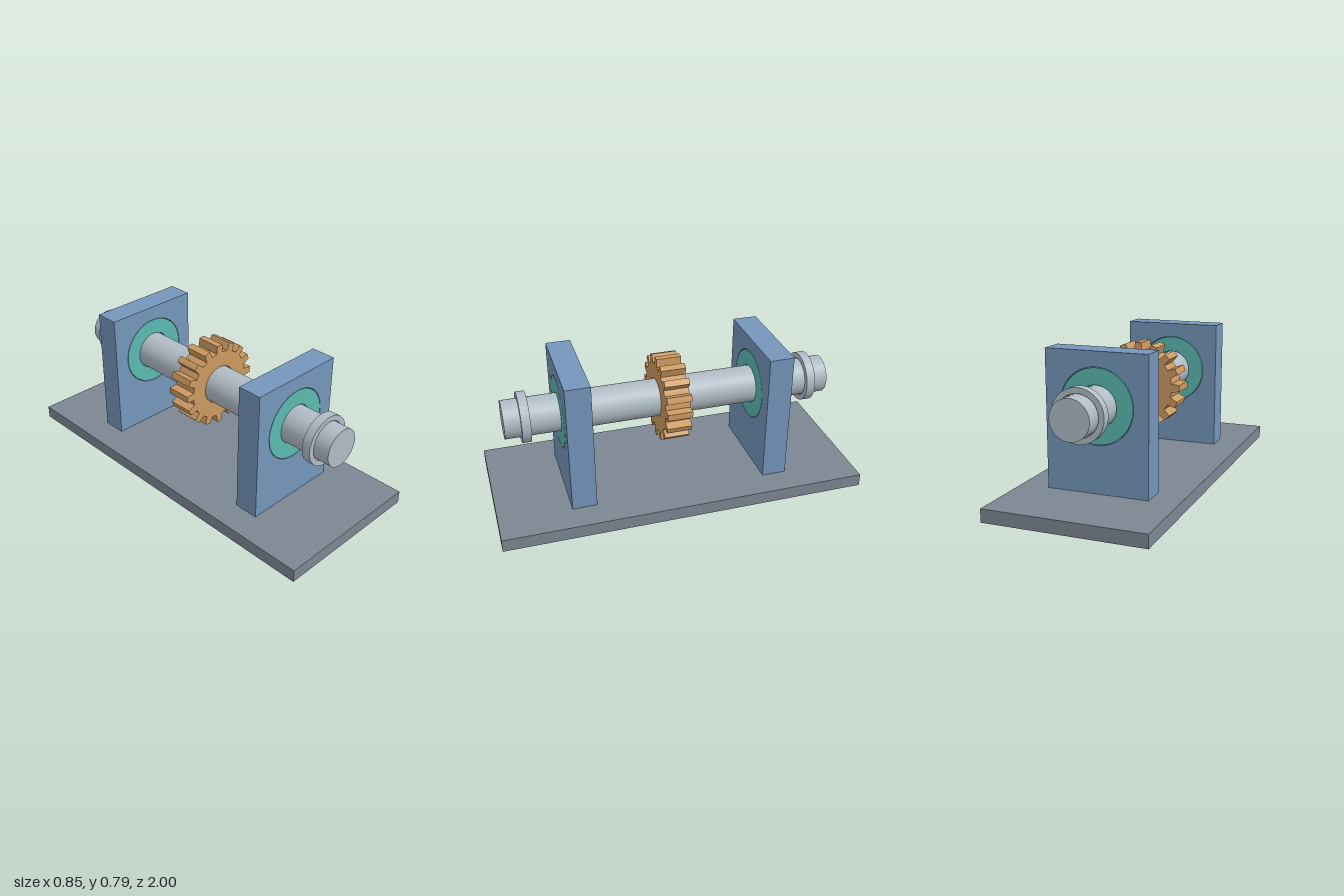
import * as THREE from 'three';

const AXIS_Y = 0.515;

const paint = (name, color) => {
  const m = new THREE.MeshStandardMaterial({ color });
  m.name = name;
  return m;
};

const circle = (r) => new THREE.Path().absarc(0, 0, r, 0, Math.PI * 2, true);

// Extrude a shape along z, centred on its own depth
function slab(shape, depth) {
  const geo = new THREE.ExtrudeGeometry(shape, { depth, bevelEnabled: false, curveSegments: 48 });
  return geo.translate(0, 0, -depth / 2);
}

// Smooth ring around the z axis: a lathed rectangle with doubled corners for crisp edges
function ring(inner, outer, depth) {
  const h = depth / 2;
  const c = [[inner, -h], [outer, -h], [outer, h], [inner, h]].map(([x, y]) => new THREE.Vector2(x, y));
  const pts = [c[0], c[1], c[1], c[2], c[2], c[3], c[3], c[0]];
  return new THREE.LatheGeometry(pts, 64).rotateX(Math.PI / 2);
}

// Straight-sided spur gear outline with a bore
function gearShape(teeth, root, tip, bore) {
  const pitch = (Math.PI * 2) / teeth;
  const pts = [];
  for (let i = 0; i < teeth; i++) {
    const a = Math.PI / 2 + i * pitch;
    for (const [r, f] of [[root, -0.29], [tip, -0.19], [tip, 0], [tip, 0.19], [root, 0.29], [root, 0.5]]) {
      pts.push(new THREE.Vector2(Math.cos(a + f * pitch) * r, Math.sin(a + f * pitch) * r));
    }
  }
  const shape = new THREE.Shape(pts);
  shape.holes.push(circle(bore));
  return shape;
}

export function createModel() {
  const model = new THREE.Group();
  model.name = 'gearShaftAssembly';

  const slate = paint('slate grey', 0x7c8792);
  const blue = paint('support blue', 0x7596bb);
  const teal = paint('bearing teal', 0x5bbab1);
  const steel = paint('shaft steel', 0xb0bcc6);
  const bronze = paint('gear bronze', 0xcc9a60);

  const add = (name, geo, mat, y, z = 0) => {
    const mesh = new THREE.Mesh(geo, mat);
    mesh.name = name;
    mesh.position.set(0, y, z);
    model.add(mesh);
  };

  // Base plate
  add('basePlate', new THREE.BoxGeometry(0.854, 0.07, 2), slate, 0.035);

  // Upright outline, relative to the shaft axis
  const bottom = 0.07 - AXIS_Y, top = 0.788 - AXIS_Y, w = 0.273;
  const upright = new THREE.Shape([
    new THREE.Vector2(-w, bottom), new THREE.Vector2(w, bottom),
    new THREE.Vector2(w, top), new THREE.Vector2(-w, top),
  ]);
  upright.holes.push(circle(0.195));

  // Support, bearing and collar at each end
  for (const [side, s] of [['front', 1], ['back', -1]]) {
    add(side + 'Support', slab(upright, 0.134), blue, AXIS_Y, s * 0.54);
    add(side + 'Bearing', ring(0.107, 0.192, 0.134), teal, AXIS_Y, s * 0.54);
    add(side + 'Collar', ring(0.107, 0.136, 0.048), steel, AXIS_Y, s * 0.79);
  }

  // Shaft and central gear
  add('shaft', new THREE.CylinderGeometry(0.103, 0.103, 1.8, 64).rotateX(Math.PI / 2), steel, AXIS_Y);
  add('gear', slab(gearShape(16, 0.193, 0.237, 0.107), 0.137), bronze, AXIS_Y);

  return model;
}
